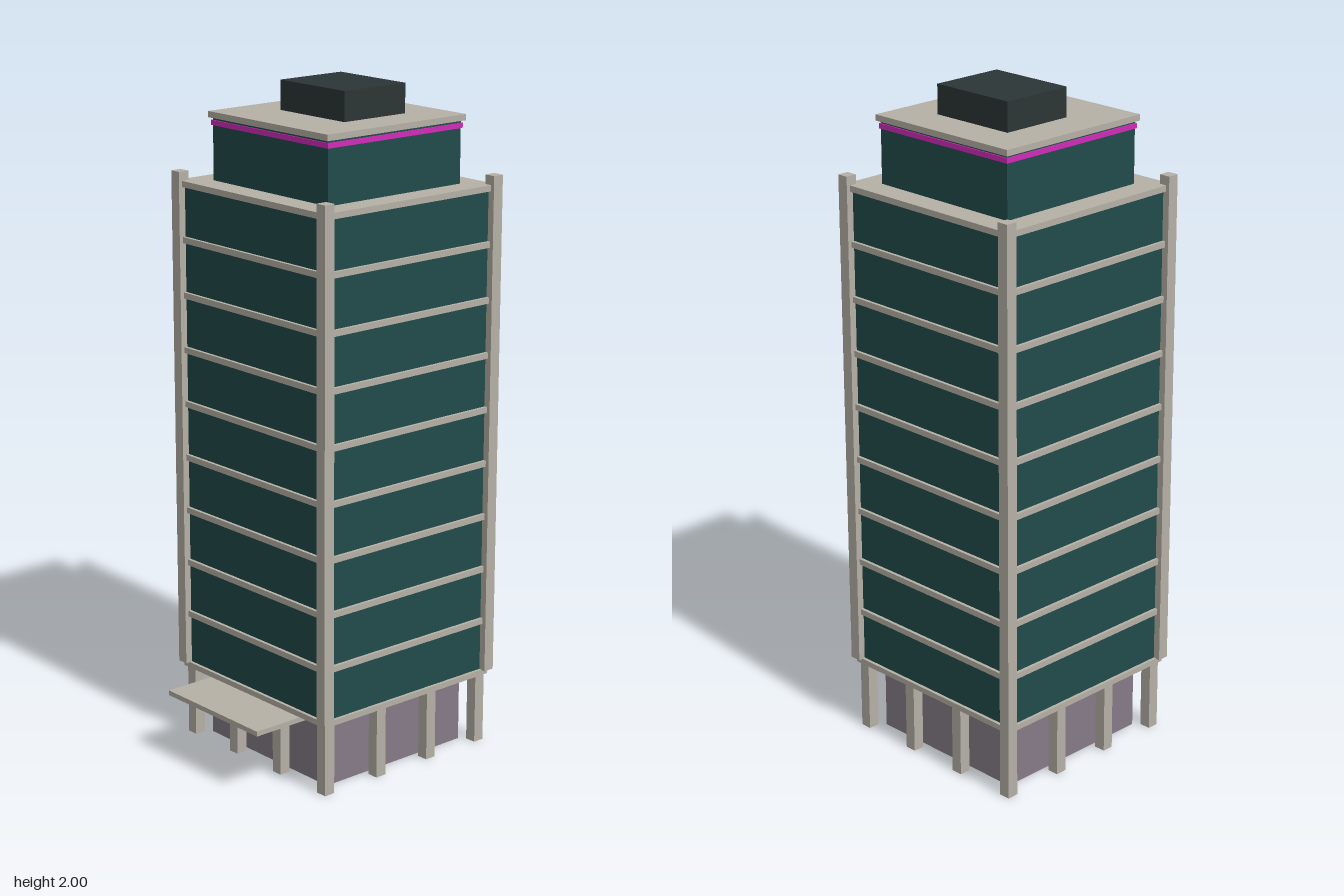
import * as THREE from 'three';

const CZ = -0.072; // depth of the tower's axis

function material(name, color) {
  const m = new THREE.MeshStandardMaterial({ color });
  m.name = name;
  return m;
}

export function createModel() {
  const model = new THREE.Group();
  model.name = 'officeTower';

  const concrete = material('concrete', 0xb5b1a6);
  const glass = material('tealGlass', 0x214a4a);
  const lobbyWall = material('mauveWall', 0x857b87);
  lobbyWall.side = THREE.DoubleSide;
  const neon = material('magentaTrim', 0xd02cb8);
  const dark = material('darkMetal', 0x2c3535);

  // Box given by width, depth, bottom, top and centre
  const block = (name, mat, w, d, y0, y1, x = 0, z = CZ, parent = model) => {
    const mesh = new THREE.Mesh(new THREE.BoxGeometry(w, y1 - y0, d), mat);
    mesh.name = name;
    mesh.position.set(x, (y0 + y1) / 2, z);
    parent.add(mesh);
    return mesh;
  };
  const group = (name) => {
    const g = new THREE.Group();
    g.name = name;
    model.add(g);
    return g;
  };

  // Lobby: four thin walls, open underneath
  const lobby = group('lobby');
  for (let i = 0; i < 4; i++) {
    const a = (i * Math.PI) / 2;
    const wall = new THREE.Mesh(new THREE.PlaneGeometry(0.53, 0.215), lobbyWall);
    wall.name = 'lobbyWall';
    wall.position.set(Math.sin(a) * 0.265, 0.1075, CZ + Math.cos(a) * 0.265);
    wall.rotation.y = a;
    lobby.add(wall);
  }

  // Ground columns around the lobby, four per side
  const columns = group('groundColumns');
  const grid = [-0.3, -0.1, 0.1, 0.3];
  for (const x of grid) {
    for (const z of grid) {
      if (Math.max(Math.abs(x), Math.abs(z)) < 0.2) continue;
      block('groundColumn', concrete, 0.035, 0.035, 0, 0.215, x, CZ + z, columns);
    }
  }

  // Entrance canopy
  block('canopy', concrete, 0.41, 0.213, 0.195, 0.21, 0, 0.2995);

  // Main shaft with its base slab, floor bands and roof
  block('baseSlab', concrete, 0.65, 0.65, 0.215, 0.232);
  block('shaftGlass', glass, 0.63, 0.63, 0.232, 1.7);
  const bands = group('floorBands');
  for (let i = 1; i <= 9; i++) {
    const y = 0.224 + i * 0.1644;
    block(i < 9 ? 'floorBand' : 'roofSlab', concrete, 0.65, 0.65, y - 0.009, y + 0.009, 0, CZ, bands);
  }

  // Corner piers rising past the roof
  const piers = group('cornerPiers');
  for (const sx of [-1, 1]) {
    for (const sz of [-1, 1]) {
      block('cornerPier', concrete, 0.035, 0.035, 0.23, 1.74, sx * 0.319, CZ + sz * 0.319, piers);
    }
  }

  // Set-back crown
  block('crownGlass', glass, 0.5, 0.5, 1.71, 1.896);
  block('crownTrim', neon, 0.508, 0.508, 1.873, 1.888);
  block('crownRoof', concrete, 0.52, 0.52, 1.895, 1.913);
  block('plantRoom', dark, 0.276, 0.23, 1.913, 2.0, 0, -0.095);

  return model;
}
